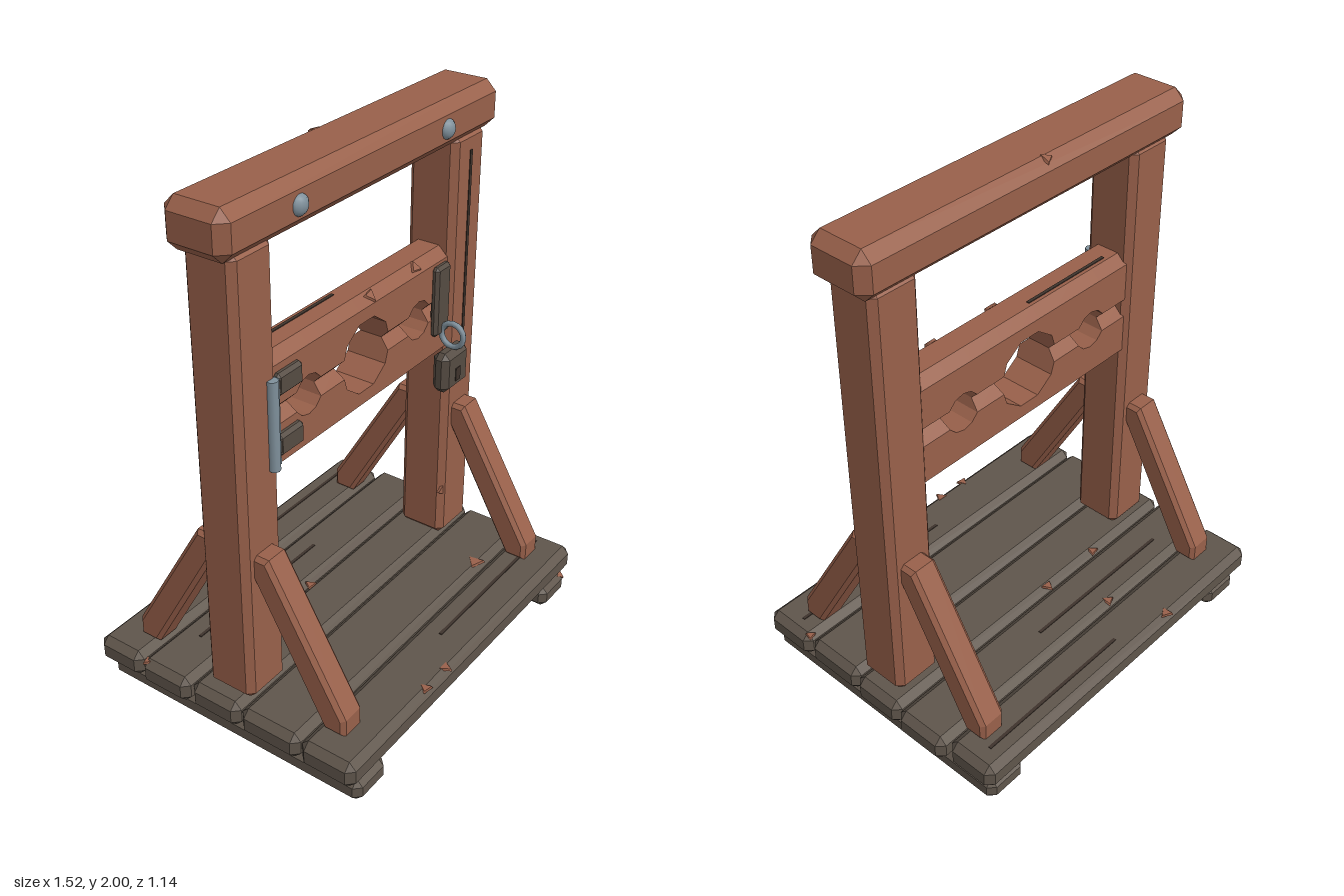
import * as THREE from 'three';
import { ConvexGeometry } from 'three/addons/geometries/ConvexGeometry.js';

const mat = (name, color) => {
  const m = new THREE.MeshStandardMaterial({ color });
  m.name = name;
  return m;
};

export function createModel() {
  const root = new THREE.Group();
  root.name = 'pillory';
  const wood = mat('red wood', 0x98604a);
  const plank = mat('weathered plank', 0x5f554b);
  const iron = mat('dark iron', 0x554b42);
  const steel = mat('steel', 0x7f909b);
  const crack = mat('crack', 0x3e332c);

  const add = (name, geo, m, x = 0, y = 0, z = 0) => {
    const mesh = new THREE.Mesh(geo, m);
    mesh.name = name;
    mesh.position.set(x, y, z);
    root.add(mesh);
    return mesh;
  };

  // Box with chamfered edges, given by its limits on each axis
  const block = (name, m, [x0, x1], [y0, y1], [z0, z1], c) => {
    const half = [(x1 - x0) / 2, (y1 - y0) / 2, (z1 - z0) / 2];
    const pts = [];
    for (const sx of [-1, 1]) for (const sy of [-1, 1]) for (const sz of [-1, 1])
      for (let k = 0; k < 3; k++) {
        const p = half.map((h, i) => (i === k ? h : h - c));
        pts.push(new THREE.Vector3(sx * p[0], sy * p[1], sz * p[2]));
      }
    return add(name, new ConvexGeometry(pts), m, (x0 + x1) / 2, (y0 + y1) / 2, (z0 + z1) / 2);
  };

  // Platform: two bearers and five planks
  block('leftFoot', plank, [0.535, 0.705], [0, 0.09], [-0.55, 0.56], 0.025);
  block('rightFoot', plank, [-0.71, -0.54], [0, 0.09], [-0.55, 0.56], 0.025);
  const planks = [
    [-0.755, 0.73, -0.565, -0.365], [-0.76, 0.755, -0.36, -0.14], [-0.75, 0.745, -0.135, 0.08],
    [-0.75, 0.735, 0.085, 0.335], [-0.75, 0.74, 0.34, 0.56],
  ];
  for (const [a, b, c, d] of planks) block('plank', plank, [a, b], [0.09, 0.195], [c, d], 0.027);

  // Posts and top beam
  block('leftPost', wood, [0.492, 0.685], [0.19, 1.85], [-0.095, 0.1], 0.024);
  block('rightPost', wood, [-0.69, -0.498], [0.19, 1.85], [-0.095, 0.1], 0.024);
  block('topBeam', wood, [-0.747, 0.737], [1.83, 2], [-0.123, 0.122], 0.038);

  // Diagonal braces, profile in z and y
  const b = 0.015;
  const brace = new THREE.Shape([
    [0.455, 0.19], [0.455, 0.26], [0.15, 0.78], [0.08, 0.78], [0.08, 0.7], [0.37, 0.19],
  ].map(([z, y]) => new THREE.Vector2(z, y)));
  const braceGeo = new THREE.ExtrudeGeometry(brace, {
    depth: 0.108 - 2 * b, bevelEnabled: true, bevelSegments: 1,
    bevelSize: b, bevelThickness: b, bevelOffset: -b,
  });
  braceGeo.translate(0, 0, b - 0.054).rotateY(-Math.PI / 2);
  for (const x of [-0.594, 0.591]) {
    add('frontBrace', braceGeo, wood, x);
    add('backBrace', braceGeo, wood, x).rotation.y = Math.PI;
  }

  // Stock board: chamfered section swept along x, cut by half holes in its lower edge
  const D = 0.08, C = 0.036, H = 0.217;
  const stockGeometry = () => {
    const cols = [[-0.51, 0]];
    for (const [cx, r, n] of [[-0.32, 0.073, 12], [0, 0.138, 10], [0.318, 0.073, 12]])
      for (let k = 0; k <= n / 2; k++) {
        const a = Math.PI * (1 - (2 * k) / n);
        const x = cx + r * Math.cos(a), h = Math.max(0, r * Math.sin(a));
        const [px, ph] = cols[cols.length - 1];
        // extra column where the hole edge leaves the chamfer
        if ((ph - C) * (h - C) < -1e-7) cols.push([px + (x - px) * (C - ph) / (h - ph), C]);
        cols.push([x, h]);
      }
    cols.push([0.51, 0]);
    const section = ([x, h]) => {
      const q = D - C + Math.min(h, C), s = Math.max(h, C);
      return [[q, h], [D, s], [D, H - C], [D - C, H], [C - D, H], [-D, H - C], [-D, s], [-q, h]]
        .map(([z, y]) => [x, y, z]);
    };
    const pos = [];
    const tri = (...p) => p.forEach((v) => pos.push(...v));
    const rings = cols.map(section);
    for (let i = 0; i + 1 < rings.length; i++)
      for (let j = 0; j < 8; j++) {
        const k = (j + 1) % 8, A = rings[i], B = rings[i + 1];
        tri(A[j], B[j], B[k]);
        tri(A[j], B[k], A[k]);
      }
    const first = rings[0], last = rings[rings.length - 1];
    for (let j = 1; j < 7; j++) {
      tri(first[0], first[j], first[j + 1]);
      tri(last[0], last[j + 1], last[j]);
    }
    const g = new THREE.BufferGeometry();
    g.setAttribute('position', new THREE.Float32BufferAttribute(pos, 3));
    g.computeVertexNormals();
    return g;
  };
  const stock = stockGeometry();
  add('upperStock', stock, wood, 0, 1.224, 0);
  add('lowerStock', stock, wood, 0, 1.224, 0).rotation.x = Math.PI;

  // Beam bolts
  for (const x of [-0.402, 0.396]) {
    const bolt = add('bolt', new THREE.SphereGeometry(0.036, 12, 8), steel, x, 1.913, 0.118);
    bolt.scale.z = 0.75;
  }

  // Hinge: barrel, leaf and two straps
  add('hingeBarrel', new THREE.CylinderGeometry(0.02, 0.02, 0.325, 10), steel, -0.535, 1.222, 0.106);
  block('hingeLeaf', steel, [-0.535, -0.503], [1.065, 1.38], [0.09, 0.112], 0.004);
  for (const y of [1.12, 1.34]) {
    block('hingeStrap', iron, [-0.5, -0.372], [y - 0.041, y + 0.041], [0.07, 0.104], 0.012);
    block('hingeTongue', iron, [-0.515, -0.48], [y - 0.025, y + 0.025], [0.075, 0.102], 0.005);
  }

  // Hasp and padlock
  block('hasp', iron, [0.4, 0.49], [1.12, 1.395], [0.07, 0.104], 0.012);
  const shackle = add('shackle', new THREE.TorusGeometry(0.046, 0.011, 8, 16), steel, 0.445, 1.13, 0.145);
  shackle.rotation.y = Math.PI / 2;
  block('padlock', iron, [0.366, 0.524], [0.92, 1.08], [0.106, 0.174], 0.022);
  add('keyhole', new THREE.BoxGeometry(0.03, 0.052, 0.006), crack, 0.445, 0.982, 0.174);

  // Long cracks in the timber
  const slit = (x0, x1, y, z) =>
    add('crack', new THREE.BoxGeometry(x1 - x0, 0.006, 0.012), crack, (x0 + x1) / 2, y, z);
  slit(-0.02, 0.65, 0.195, -0.49);
  slit(-0.54, 0.14, 0.195, -0.265);
  slit(-0.02, 0.68, 0.195, 0.43);
  slit(-0.44, -0.05, 1.441, -0.025);
  add('postCrack', new THREE.BoxGeometry(0.014, 0.88, 0.006), crack, 0.59, 1.34, 0.1);

  // Splintered chips along the edges
  const chip = (x, y, z, r, turn, tilt = 0) => {
    const m = add('chip', new THREE.CylinderGeometry(r * 0.85, r, 0.009, 3), wood, x, y, z);
    m.rotation.set(tilt, turn, 0);
  };
  const chips = [
    [-0.255, -0.546, 0.028, -0.5], [-0.16, -0.346, 0.026, 0.4], [-0.33, -0.128, 0.025, 0.2],
    [-0.065, -0.126, 0.027, 1], [0.425, 0.305, 0.04, 0.7], [0.715, 0.35, 0.022, 0.3],
    [-0.285, 0.54, 0.026, 0.9], [-0.155, 0.538, 0.028, 0],
  ];
  for (const [x, z, r, t] of chips) chip(x, 0.192, z, r, t);
  chip(-0.738, 0.185, -0.335, 0.024, 0.3);
  chip(-0.05, 1.992, -0.098, 0.025, 0.5, -0.4);
  chip(0.04, 1.428, 0.064, 0.028, 0.2, Math.PI / 4);
  chip(0.31, 1.428, 0.064, 0.028, 0.9, Math.PI / 4);
  chip(0.685, 0.075, 0.545, 0.024, 0.4, Math.PI / 4);
  chip(0.503, 0.4, 0.09, 0.03, 0.5, Math.PI / 2);

  return root;
}
